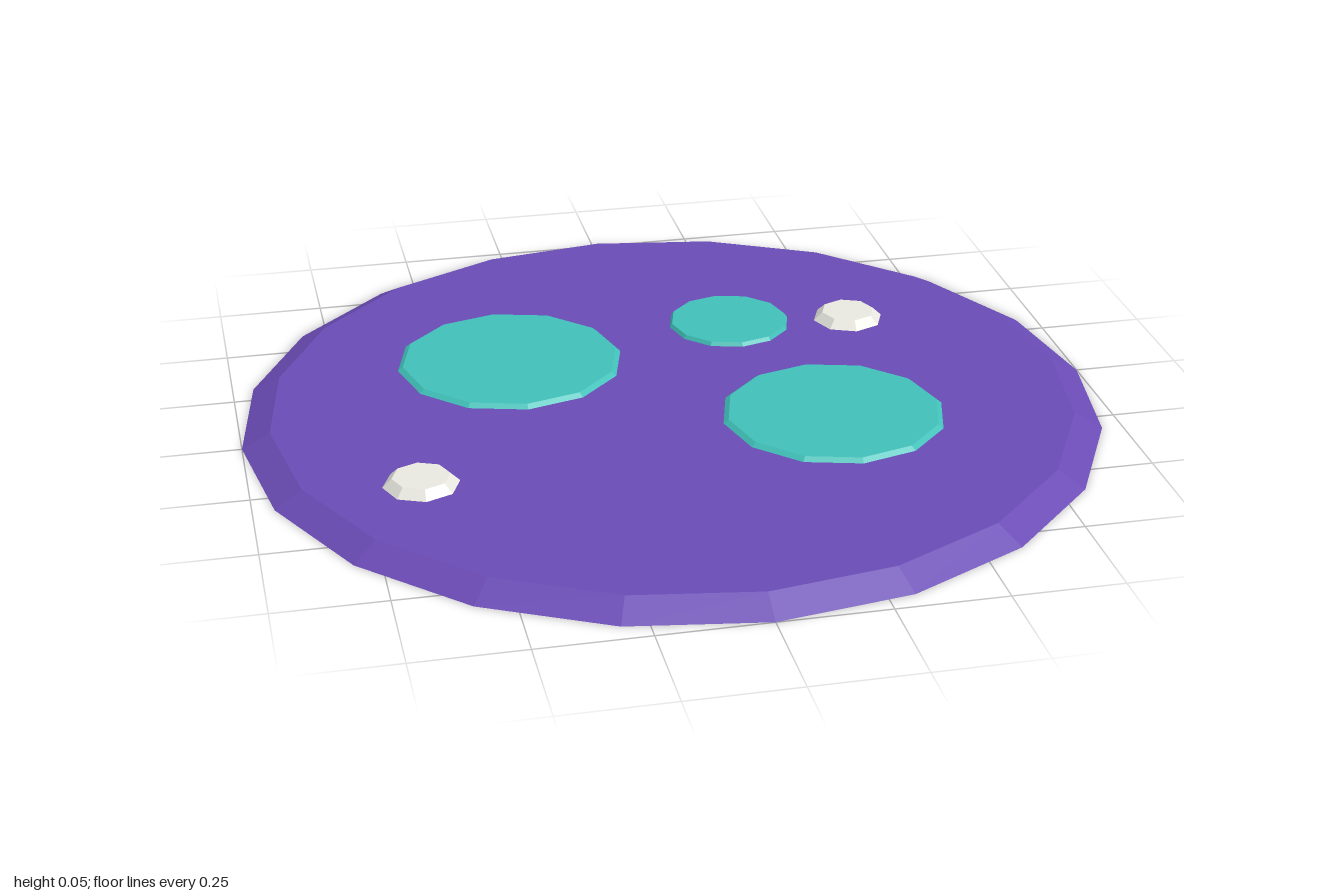
import * as THREE from 'three';

// Low, tapered, flat-shaded disc standing on height y
function disc(name, color, sides, rTop, rBottom, y, height, x = 0, z = 0) {
  const geometry = new THREE.CylinderGeometry(rTop, rBottom, height, sides);
  const material = new THREE.MeshStandardMaterial({ color, flatShading: true });
  const mesh = new THREE.Mesh(geometry, material);
  mesh.name = name;
  mesh.position.set(x, y + height / 2, z);
  return mesh;
}

export function createModel() {
  const group = new THREE.Group();
  group.name = 'spottedDisc';
  const thickness = 0.035;

  // Bevelled base plate
  group.add(disc('base', 0x6a4bb5, 20, 0.935, 1, 0, thickness));

  // Flat spots: x, z, radius, bevel
  const spots = [
    [-0.34, -0.265, 0.27, 0.012],
    [0.345, 0.17, 0.26, 0.012],
    [0.225, -0.375, 0.149, 0.006],
  ];
  spots.forEach(([x, z, r, bevel], i) =>
    group.add(disc(`spot${i + 1}`, 0x40c0b8, 12, r - bevel, r, thickness, 0.009, x, z)));

  // Pale studs
  [[0.52, -0.34], [-0.63, 0.32]].forEach(([x, z], i) =>
    group.add(disc(`stud${i + 1}`, 0xe8e8e0, 8, 0.065, 0.086, thickness, 0.02, x, z)));

  return group;
}
